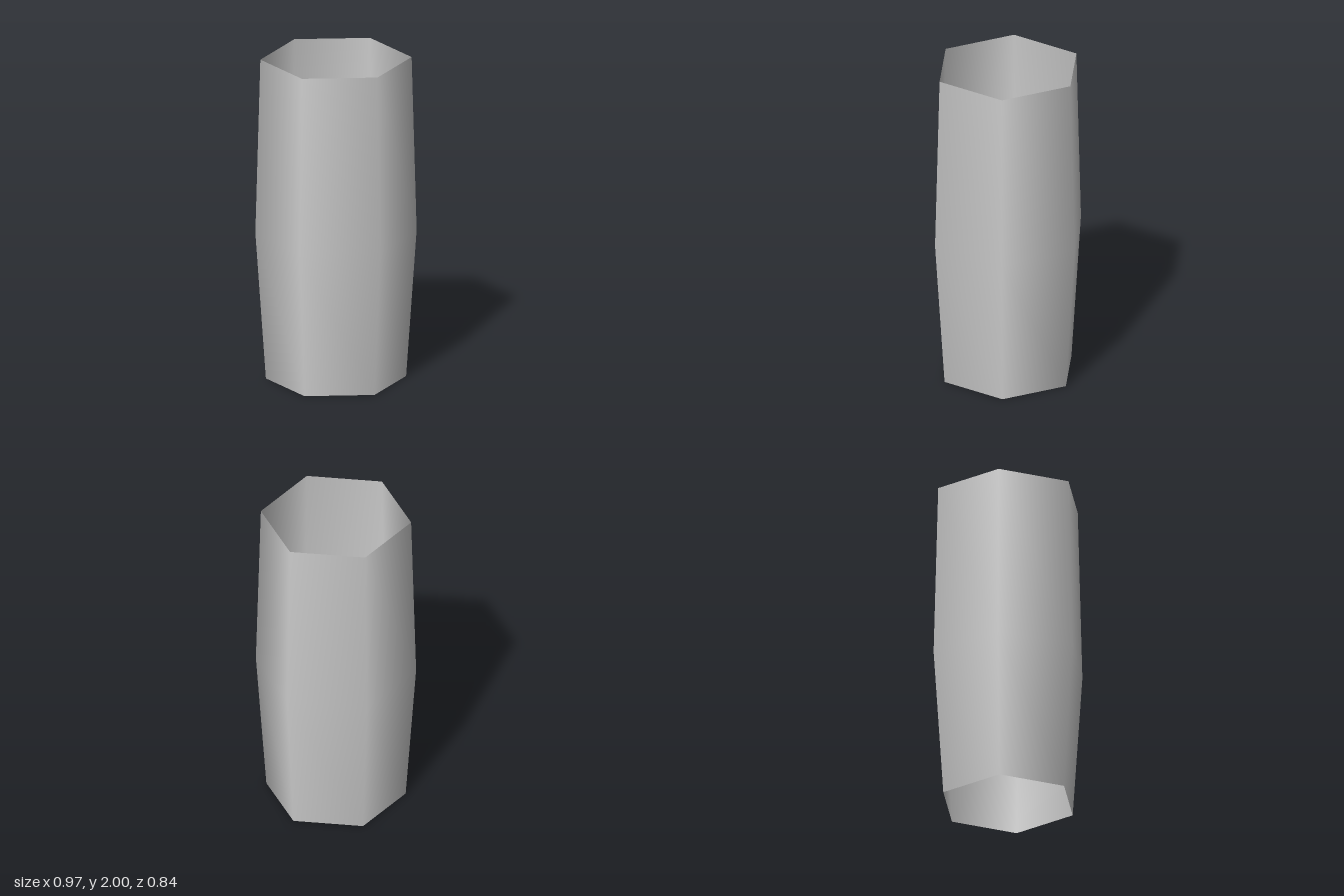
import * as THREE from 'three';

export function createModel() {
  const group = new THREE.Group();
  group.name = 'hexagonalTube';

  const lightGrey = new THREE.MeshStandardMaterial({ color: 0xcccccc, side: THREE.DoubleSide });
  lightGrey.name = 'lightGrey';

  // Open six-sided wall: narrow foot, widest just below the middle, slightly drawn in at the rim
  const profile = [[0.42, 0], [0.483, 0.915], [0.453, 2]].map(([r, y]) => new THREE.Vector2(r, y));
  const wall = new THREE.Mesh(new THREE.LatheGeometry(profile, 6, Math.PI / 2), lightGrey);
  wall.name = 'tubeWall';
  group.add(wall);

  return group;
}
